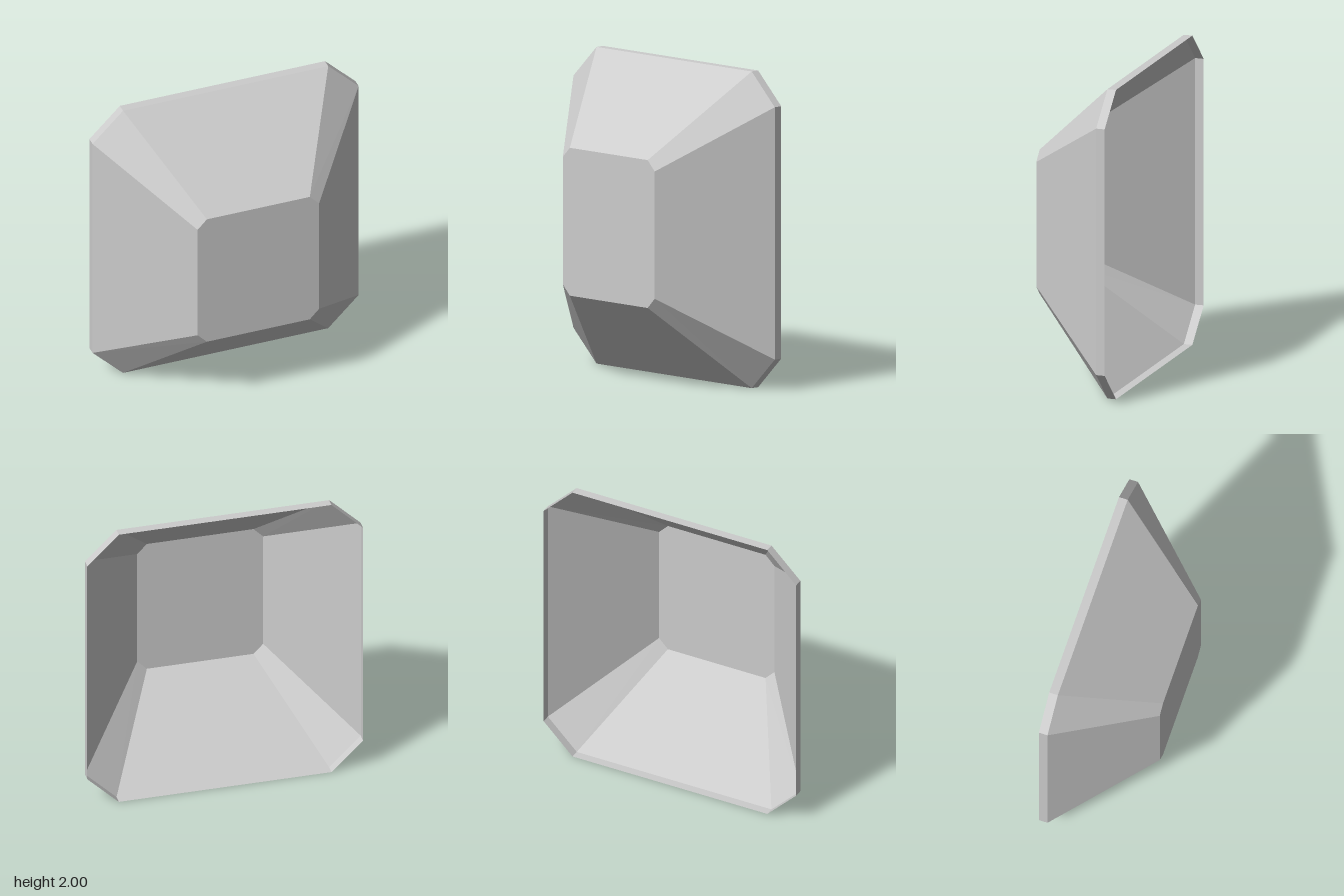
import * as THREE from 'three';

// Chamfered rectangle, counter-clockwise seen from the front
function octagon(halfW, halfH, cutX, cutY, z) {
  const x = halfW - cutX, y = halfH - cutY;
  return [
    [halfW, -y], [halfW, y], [x, halfH], [-x, halfH],
    [-halfW, y], [-halfW, -y], [-x, -halfH], [x, -halfH],
  ].map(([px, py]) => new THREE.Vector3(px, py + 1, z));
}

function facets(points) {
  const geometry = new THREE.BufferGeometry().setFromPoints(points);
  geometry.computeVertexNormals();
  return geometry;
}

// Flat facets joining a back loop to a front loop
function band(back, front) {
  const points = [];
  back.forEach((a, i) => {
    const j = (i + 1) % back.length;
    points.push(a, back[j], front[j], a, front[j], front[i]);
  });
  return facets(points);
}

// Flat face filling a convex loop
function cap(loop) {
  const points = [];
  for (let i = 1; i < loop.length - 1; i++) points.push(loop[0], loop[i], loop[i + 1]);
  return facets(points);
}

export function createModel() {
  const grey = new THREE.MeshStandardMaterial({ color: 0xcccccc, flatShading: true, side: THREE.DoubleSide });
  grey.name = 'light grey';

  const group = new THREE.Group();
  group.name = 'facetedShell';
  const add = (name, geometry) => {
    const mesh = new THREE.Mesh(geometry, grey);
    mesh.name = name;
    group.add(mesh);
  };

  // The shell is hollow and open at the back
  const rimBack = octagon(0.887, 1, 0.203, 0.203, -0.317);
  const rimFront = octagon(0.887, 1, 0.203, 0.203, -0.26);
  const table = octagon(0.405, 0.467, 0.062, 0.065, 0.317);

  add('rim', band(rimBack, rimFront));
  add('slopedFacets', band(rimFront, table));
  add('frontFace', cap(table));
  return group;
}
